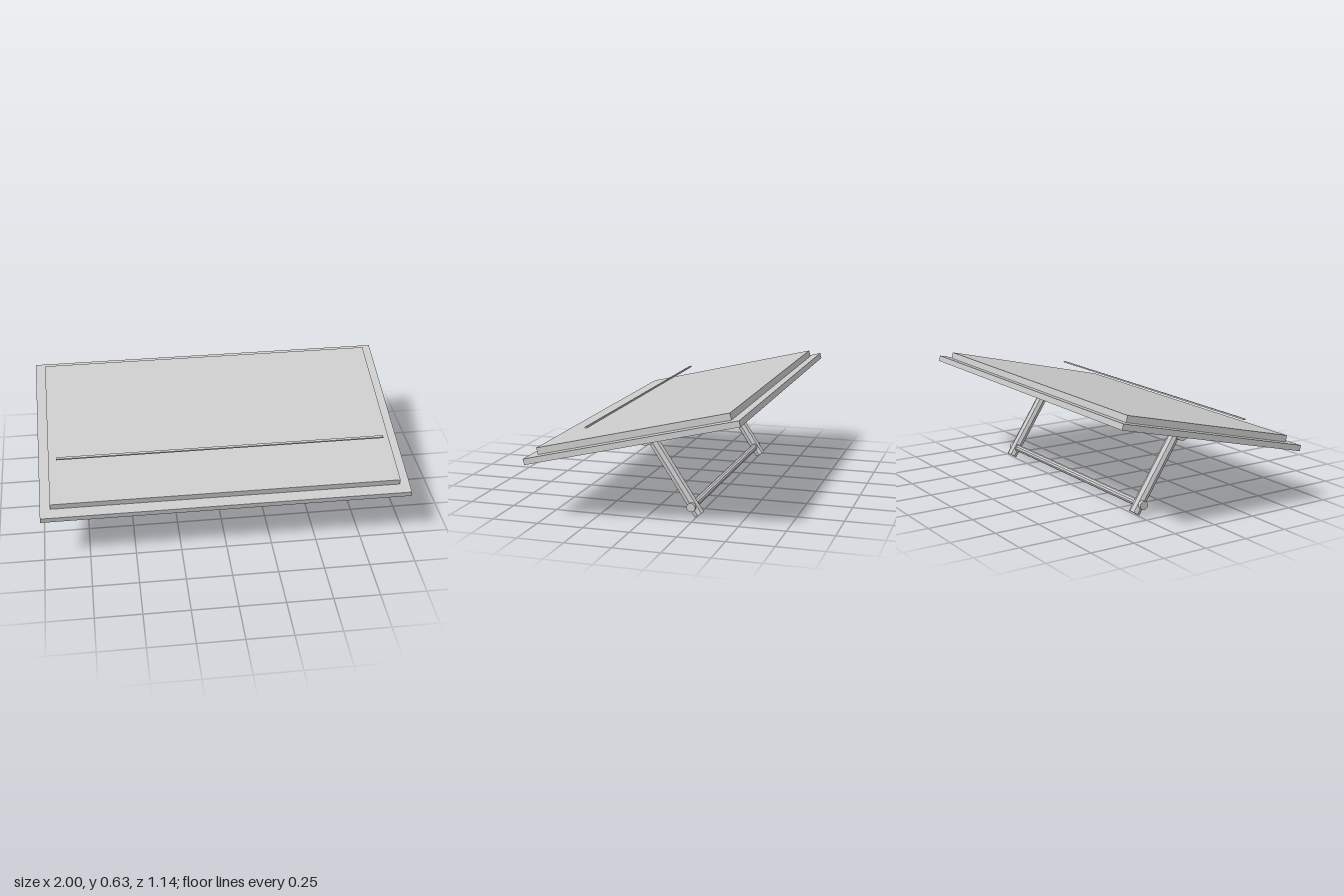
import * as THREE from 'three';

const material = new THREE.MeshStandardMaterial({ color: 0xcccccc, flatShading: true });
const TILT = 0.239;

export function createModel() {
  const model = new THREE.Group();
  model.name = 'tiltedPanelOnStand';

  const add = (name, geometry, x, y, z, tilt = 0) => {
    const mesh = new THREE.Mesh(geometry, material);
    mesh.name = name;
    mesh.position.set(x, y, z);
    mesh.rotation.x = tilt;
    model.add(mesh);
    return mesh;
  };
  // Cylinder lying along x
  const rod = (radius, length, sides) =>
    new THREE.CylinderGeometry(radius, radius, length, sides).rotateZ(Math.PI / 2);

  // Base board with the smaller panel on top
  add('baseBoard', new THREE.BoxGeometry(2, 0.032, 1.168), 0, 0.458, 0, TILT);
  add('topPanel', new THREE.BoxGeometry(1.89, 0.036, 1.053), 0, 0.492, 0.004, TILT);

  // Thin strips, one above the panel and one below the board
  for (const [name, z] of [['upperStrip', 0.262], ['lowerStrip', -0.266]]) {
    add(name, new THREE.BoxGeometry(1.8, 0.008, 0.014), 0, 0.499, z, TILT);
  }

  // Stand: hinges, slanted legs and end caps of the crossbar
  const foot = new THREE.Vector3(0, 0.0165, -0.266);
  const top = new THREE.Vector3(0, 0.418, -0.003);
  const axis = top.clone().sub(foot);
  const mid = foot.clone().add(top).multiplyScalar(0.5);
  const legTilt = Math.atan2(axis.z, axis.y);
  for (const side of [-1, 1]) {
    const x = side * 0.66;
    const label = side > 0 ? 'left' : 'right';
    add(label + 'Hinge', rod(0.054, 0.07, 10), x, 0.426, 0.02, Math.PI / 10);
    add(label + 'Leg', new THREE.CylinderGeometry(0.03, 0.03, axis.length(), 8),
      x, mid.y, mid.z, legTilt);
    add(label + 'EndCap', rod(0.024, 0.07, 16), side * 0.667, 0.062, -0.232);
  }
  add('crossbar', rod(0.02, 1.36, 10), 0, 0.062, -0.232);

  return model;
}
